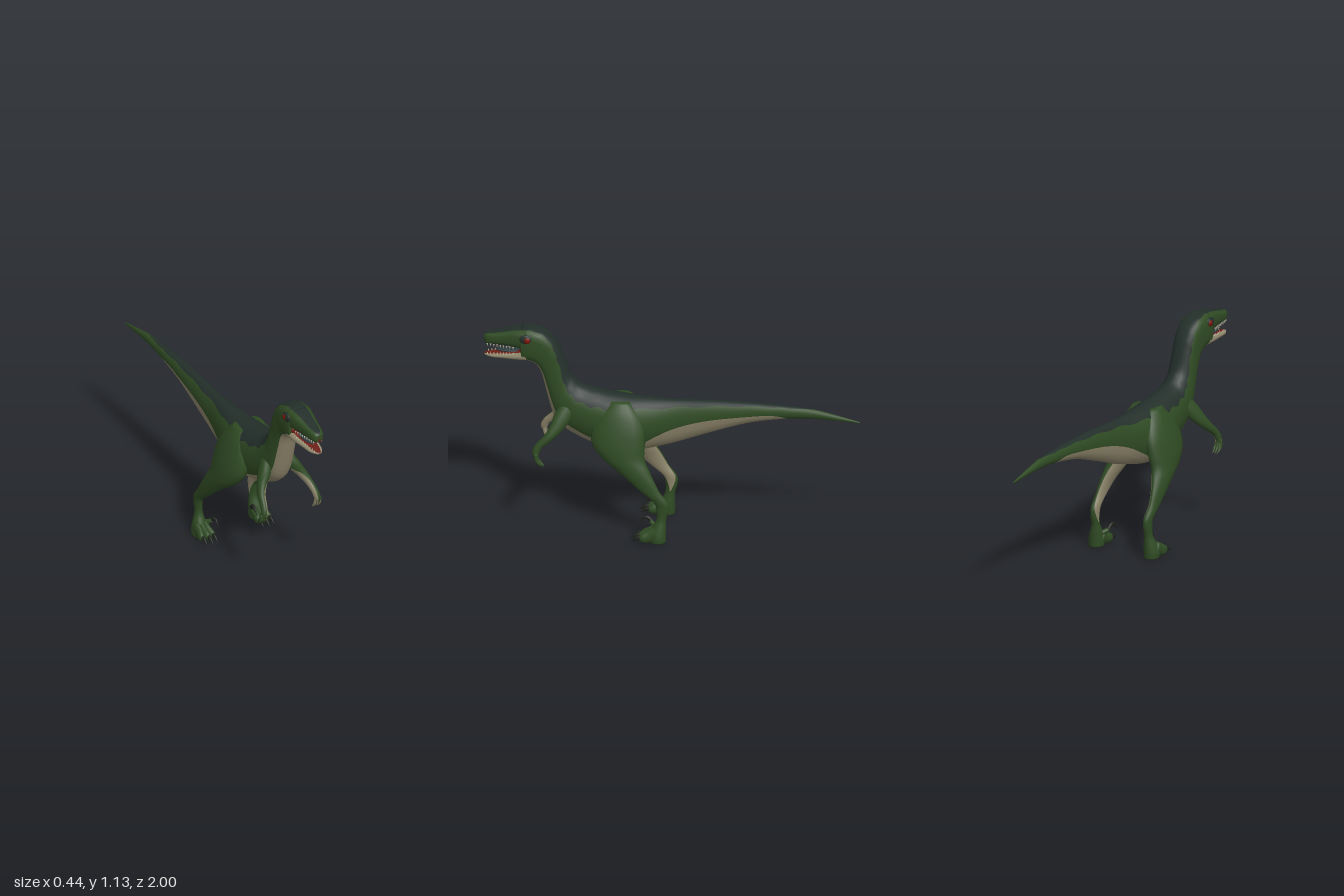
import * as THREE from 'three';

const mat = (name, color) => Object.assign(new THREE.MeshStandardMaterial({ color }), { name });
const green = mat('green skin', 0x2f4a23), dark = mat('dark back', 0x232f2a), cream = mat('cream belly', 0x8a8268);
const red = mat('red eye', 0x7a180c), lining = mat('mouth lining', 0x6b1f18), tongueMat = mat('tongue', 0x2c3a3c);
const horn = mat('claw', 0x20241e), ivory = mat('tooth', 0xb8b49c);

// Catmull-Rom subdivision of rows of numbers
function smooth(rows, k) {
  const out = [], at = i => rows[Math.max(0, Math.min(rows.length - 1, i))];
  for (let i = 0; i < rows.length - 1; i++) {
    for (let s = 0; s < k; s++) {
      const t = s / k;
      out.push(rows[i].map((b, c) => {
        const a = at(i - 1)[c], d = at(i + 1)[c], e = at(i + 2)[c];
        return b + 0.5 * t * (d - a + t * (2 * a - 5 * b + 4 * d - e + t * (3 * (b - d) + e - a)));
      }));
    }
  }
  out.push(rows[rows.length - 1]);
  return out;
}

// Closed skin over rings of points; colour(i, j) picks the material of each face
function loft(parent, name, rings, mats, colour) {
  const n = rings[0].length, last = rings.length - 1, lists = mats.map(() => []);
  const pts = rings.flat();
  const centre = r => r.reduce((s, p) => s.add(p), new THREE.Vector3()).divideScalar(n);
  const c0 = pts.push(centre(rings[0])) - 1, c1 = pts.push(centre(rings[last])) - 1;
  for (let j = 0; j < n; j++) {
    const k = (j + 1) % n;
    for (let i = 0; i < last; i++) {
      const a = i * n + j, b = i * n + k;
      lists[colour(i, j)].push(a, b, a + n, b, b + n, a + n);
    }
    lists[colour(0, j)].push(c0, k, j);
    lists[colour(last, j)].push(c1, last * n + j, last * n + k);
  }
  // turn the faces outward
  let volume = 0;
  for (const l of lists) for (let q = 0; q < l.length; q += 3)
    volume += pts[l[q]].dot(new THREE.Vector3().crossVectors(pts[l[q + 1]], pts[l[q + 2]]));
  if (volume < 0) lists.forEach(l => l.reverse());
  const g = new THREE.BufferGeometry().setFromPoints(pts);
  let start = 0;
  lists.forEach((l, m) => { g.addGroup(start, l.length, m); start += l.length; });
  g.setIndex(lists.flat());
  g.computeVertexNormals();
  const mesh = new THREE.Mesh(g, mats);
  mesh.name = name;
  parent.add(mesh);
}

// Trunk-like part. Row: top z, top y, bottom z, bottom y, half width, upper band, lower band (of pi)
function trunk(parent, name, rows, mats, wobble = 0) {
  const fine = smooth(rows, 5);
  const rings = fine.map(([tz, ty, bz, by, w, ad, ab], i) => {
    const d = Math.max(0.02, ad + (ad > 0.1 ? wobble * Math.sin(i * 1.25) : 0)), b = Math.min(ab, 0.98);
    const stops = [[-d, d, 8], [d, b, 7], [b, 2 - b, 8], [2 - b, 2 - d, 7]], ring = [];
    // sections grow squarer from the neck up to the skull
    const e = THREE.MathUtils.clamp(1 - 1.6 * (ty - 0.88), 0.6, 1);
    const pw = v => Math.sign(v) * Math.abs(v) ** e;
    for (const [from, to, n] of stops) for (let j = 0; j < n; j++) {
      const a = Math.PI * (from + (to - from) * j / n), c = pw(Math.cos(a)) / 2;
      ring.push(new THREE.Vector3(w * pw(Math.sin(a)), (ty + by) / 2 + (ty - by) * c, (tz + bz) / 2 + (tz - bz) * c));
    }
    return ring;
  });
  loft(parent, name, rings, mats, (i, j) =>
    j < 8 ? (fine[i][5] > 0.04 ? 0 : 1) : j > 14 && j < 23 && fine[i][6] < 0.97 ? 2 : 1);
}

// Limb. Row: x, y, z, side radius, depth radius, half angle of the inner band
function limb(parent, name, side, rows, mats, level = false) {
  const fine = smooth(rows, 4), X = new THREE.Vector3(1, 0, 0);
  const pos = fine.map(r => new THREE.Vector3(r[0], r[1], r[2]));
  const rings = fine.map(([, , , ra, rb, h = 0.5], i) => {
    const t = pos[Math.min(i + 1, pos.length - 1)].clone().sub(pos[Math.max(i - 1, 0)]).normalize();
    const u = level ? X : X.clone().addScaledVector(t, -t.x).normalize();
    const v = level ? new THREE.Vector3(0, 0, 1) : t.clone().cross(u);
    const g = Math.PI - Math.max(h, 0.1), ring = [];
    for (let j = 0; j < 20; j++) {
      const a = j < 13 ? -g + 2 * g * j / 13 : g + 2 * (Math.PI - g) * (j - 13) / 7;
      const p = pos[i].clone().addScaledVector(u, ra * Math.cos(a)).addScaledVector(v, rb * Math.sin(a));
      p.x *= side;
      ring.push(p);
    }
    return ring;
  });
  loft(parent, name, rings, mats, (i, j) => mats.length > 1 && j > 12 && fine[i][5] > 0.15 ? 1 : 0);
}

function ball(parent, name, m, x, y, z, sx, sy, sz) {
  const b = new THREE.Mesh(new THREE.SphereGeometry(1, 20, 14), m);
  b.name = name;
  b.position.set(x, y, z);
  b.scale.set(sx, sy, sz);
  parent.add(b);
}

export function createModel() {
  const model = new THREE.Group();
  model.name = 'raptor';

  // Tail, trunk, neck and skull
  trunk(model, 'body', [
    [-1, 0.69, -1, 0.682, 0.003, 0, 1],
    [-0.78, 0.742, -0.78, 0.694, 0.018, 0.02, 1],
    [-0.66, 0.755, -0.66, 0.69, 0.025, 0.18, 1],
    [-0.56, 0.76, -0.56, 0.678, 0.03, 0.2, 0.6],
    [-0.4, 0.765, -0.4, 0.645, 0.039, 0.22, 0.55],
    [-0.2, 0.763, -0.2, 0.575, 0.051, 0.22, 0.51],
    [0, 0.757, 0, 0.5, 0.065, 0.23, 0.56],
    [0.2, 0.764, 0.2, 0.448, 0.108, 0.26, 0.74],
    [0.3, 0.774, 0.3, 0.45, 0.116, 0.29, 0.74],
    [0.4, 0.79, 0.4, 0.475, 0.108, 0.31, 0.72],
    [0.48, 0.81, 0.5, 0.515, 0.095, 0.32, 0.71],
    [0.52, 0.845, 0.575, 0.56, 0.086, 0.32, 0.71],
    [0.545, 0.885, 0.63, 0.63, 0.078, 0.31, 0.72],
    [0.58, 0.98, 0.675, 0.8, 0.07, 0.3, 0.73],
    [0.602, 1.03, 0.69, 0.865, 0.07, 0.28, 0.74],
    [0.637, 1.08, 0.71, 0.912, 0.07, 0.23, 0.75],
    [0.69, 1.117, 0.74, 0.94, 0.073, 0.16, 0.76],
    [0.76, 1.131, 0.775, 0.947, 0.073, 0.13, 0.74],
    [0.8, 1.127, 0.795, 0.948, 0.068, 0.13, 0.66]], [dark, green, cream], 0.02);

  // Jaws, tongue and teeth
  trunk(model, 'upperJaw', [
    [0.77, 1.128, 0.77, 1.012, 0.07, 0.13, 0.78],
    [0.83, 1.121, 0.83, 1.02, 0.062, 0.13, 0.78],
    [0.89, 1.105, 0.89, 1.025, 0.051, 0.13, 0.78],
    [0.95, 1.09, 0.95, 1.024, 0.041, 0.13, 0.78],
    [0.985, 1.081, 0.985, 1.024, 0.031, 0.08, 0.78],
    [1, 1.07, 1, 1.03, 0.017, 0.02, 0.8]], [dark, green, lining]);
  trunk(model, 'lowerJaw', [
    [0.77, 1.005, 0.77, 0.948, 0.068, 0.2, 0.7],
    [0.83, 0.99, 0.83, 0.947, 0.06, 0.2, 0.7],
    [0.9, 0.978, 0.9, 0.947, 0.047, 0.2, 0.7],
    [0.96, 0.969, 0.96, 0.947, 0.036, 0.2, 0.7],
    [0.998, 0.963, 0.998, 0.952, 0.014, 0.2, 0.7]], [lining, cream, cream]);
  ball(model, 'throat', lining, 0, 1.005, 0.795, 0.055, 0.03, 0.015);
  ball(model, 'tongue', tongueMat, 0, 0.987, 0.86, 0.028, 0.01, 0.08);
  const tooth = new THREE.ConeGeometry(0.0045, 0.018, 6);
  for (const side of [1, -1]) for (let i = 0; i < 9; i++) for (const upper of [true, false]) {
    const z = 0.84 + i * 0.0175, t = new THREE.Mesh(tooth, ivory);
    t.name = upper ? 'upperTooth' : 'lowerTooth';
    t.position.set(side * (0.052 - i * 0.0034 - (upper ? 0 : 0.005)), upper ? 1.018 : 0.987 - i * 0.0023, z);
    t.rotation.x = upper ? Math.PI : 0;
    model.add(t);
  }

  for (const side of [1, -1]) {
    const part = new THREE.Group();
    part.name = side > 0 ? 'leftSide' : 'rightSide';
    model.add(part);

    // Eye in a dark socket
    ball(part, 'eyeSocket', dark, side * 0.066, 1.082, 0.77, 0.012, 0.026, 0.034);
    ball(part, 'eye', red, side * 0.068, 1.08, 0.763, 0.014, 0.02, 0.02);

    // Leg with a pale inner face
    limb(part, 'leg', side, [
      [0.05, 0.75, 0.27, 0.03, 0.05, 0],
      [0.073, 0.69, 0.272, 0.046, 0.105, 0],
      [0.095, 0.61, 0.272, 0.057, 0.14, 0],
      [0.115, 0.53, 0.27, 0.059, 0.143, 0.3],
      [0.134, 0.46, 0.245, 0.051, 0.116, 1.1],
      [0.15, 0.4, 0.192, 0.04, 0.09, 1.3],
      [0.163, 0.34, 0.14, 0.028, 0.069, 1.3],
      [0.168, 0.28, 0.09, 0.022, 0.05, 1.3],
      [0.167, 0.225, 0.037, 0.021, 0.038, 1],
      [0.167, 0.18, 0.027, 0.02, 0.033, 0.5],
      [0.167, 0.125, 0.034, 0.022, 0.026, 0],
      [0.171, 0.075, 0.046, 0.034, 0.038, 0],
      [0.175, 0.03, 0.054, 0.042, 0.046, 0],
      [0.175, 0, 0.053, 0.04, 0.044, 0]], [green, cream], true);

    // Toes and claws
    for (const k of [-1, 0, 1]) {
      const x = 0.173 + k * 0.024, e = 0.173 + k * 0.032, r = k ? 0 : 0.008;
      limb(part, 'toe', side, [[x, 0.055, 0.055, 0.018, 0.035], [x, 0.036, 0.095, 0.02, 0.034],
        [e, 0.026, 0.128 + r, 0.017, 0.025], [e, 0.02, 0.146 + r, 0.007, 0.011]], [green]);
      limb(part, 'toeClaw', side, [[e, 0.03, 0.128 + r, 0.01, 0.015], [e, 0.026, 0.16 + r, 0.008, 0.011],
        [e, 0.008, 0.188 + r, 0.001, 0.001]], [horn]);
    }
    limb(part, 'sickleToe', side, [[0.155, 0.065, 0.055, 0.015, 0.018], [0.133, 0.078, 0.08, 0.013, 0.014],
      [0.122, 0.092, 0.097, 0.009, 0.011]], [green]);
    limb(part, 'sickleClaw', side, [[0.123, 0.085, 0.088, 0.008, 0.011], [0.12, 0.108, 0.11, 0.008, 0.01],
      [0.118, 0.107, 0.135, 0.006, 0.007], [0.118, 0.075, 0.157, 0.001, 0.001]], [horn]);

    // Arm and fingers, pale on the inside
    limb(part, 'arm', side, [
      [0.055, 0.7, 0.54, 0.03, 0.045, 0],
      [0.085, 0.645, 0.575, 0.033, 0.045, 0.1],
      [0.118, 0.595, 0.605, 0.026, 0.034, 0.9],
      [0.143, 0.55, 0.643, 0.021, 0.024, 1.3],
      [0.155, 0.51, 0.685, 0.018, 0.02, 1.3],
      [0.162, 0.475, 0.703, 0.018, 0.02, 1.3],
      [0.166, 0.45, 0.7, 0.014, 0.014, 1.3]], [green, cream]);
    for (const k of [-1, 0, 1]) {
      const x = 0.167 + k * 0.012;
      limb(part, 'finger', side, [[x, 0.47, 0.702, 0.008, 0.01, 1.4], [x + k * 0.004, 0.435, 0.697, 0.007, 0.009, 1.4],
        [x + k * 0.004, 0.412, 0.68, 0.005, 0.006, 1.4], [x, 0.398, 0.66, 0.001, 0.001, 1.4]], [green, cream]);
    }
  }
  return model;
}
